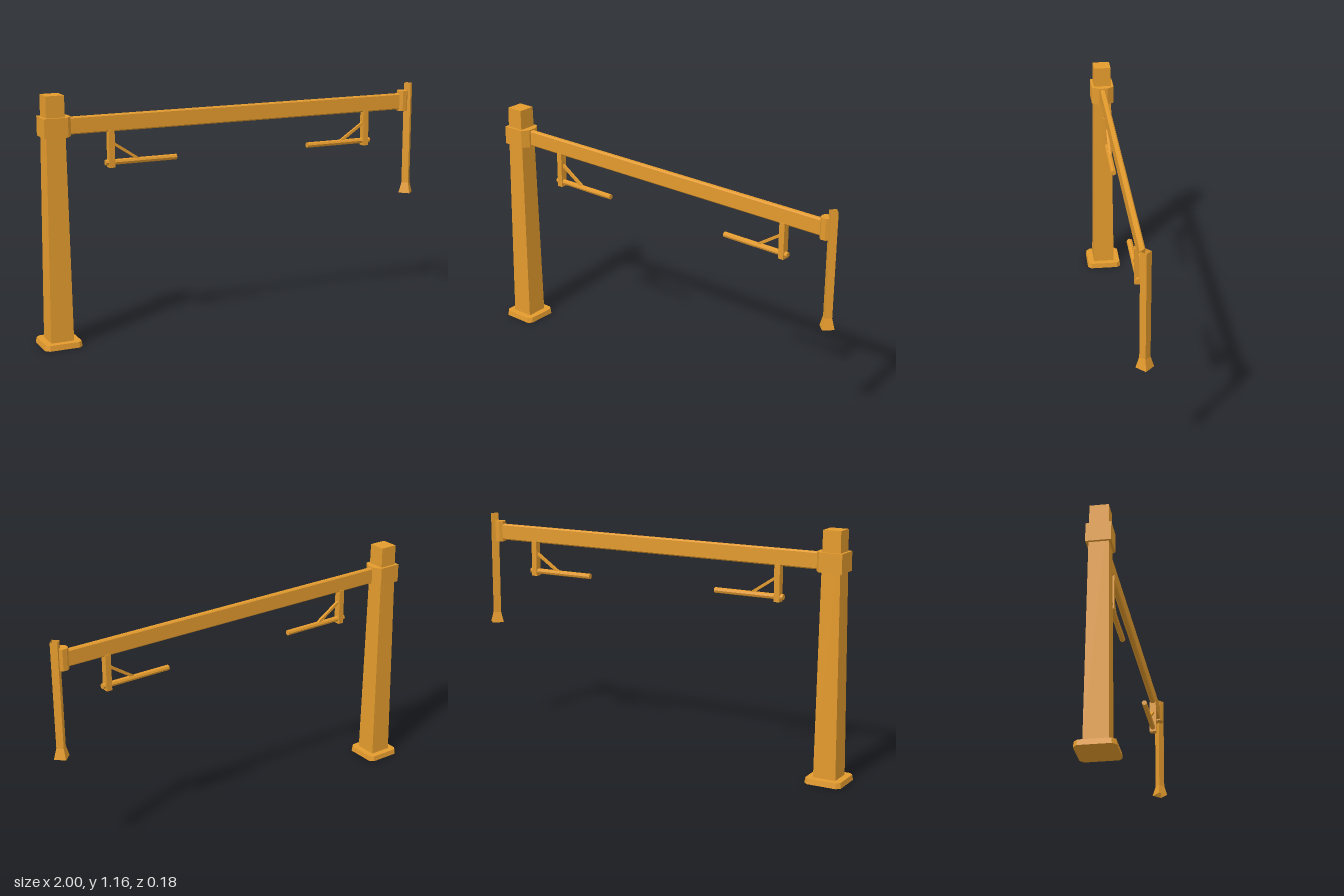
import * as THREE from 'three';

const material = new THREE.MeshStandardMaterial({ color: 0xe39a2d, flatShading: true });
const openMaterial = material.clone();
openMaterial.side = THREE.DoubleSide;

function add(parent, name, geometry, x = 0, y = 0, z = 0, mat = material) {
  const mesh = new THREE.Mesh(geometry, mat);
  mesh.name = name;
  mesh.position.set(x, y, z);
  parent.add(mesh);
  return mesh;
}

// Vertical prism standing on y = 0 from an outline in the ground plane
function prism(outline, height, topScale = 1) {
  const shape = new THREE.Shape(outline.map(([x, z]) => new THREE.Vector2(x, -z)));
  const geo = new THREE.ExtrudeGeometry(shape, { depth: height, bevelEnabled: false });
  geo.rotateX(-Math.PI / 2);
  const p = geo.attributes.position;
  for (let i = 0; i < p.count; i++) {
    if (p.getY(i) > height / 2) p.setXYZ(i, p.getX(i) * topScale, p.getY(i), p.getZ(i) * topScale);
  }
  geo.computeVertexNormals();
  return geo;
}

// Rectangle with cut corners, as half sizes
function cutRect(a, b, c) {
  return [[a, b - c], [a - c, b], [c - a, b], [-a, b - c], [-a, c - b], [c - a, -b], [a - c, -b], [a, c - b]];
}

// Hanging sign bracket whose arm points towards +x
function bracket(name) {
  const g = new THREE.Group();
  g.name = name;
  add(g, 'hanger', new THREE.BoxGeometry(0.028, 0.175, 0.034), 0, 0.9, 0);
  const arm = new THREE.CylinderGeometry(0.0135, 0.0135, 0.352, 8).rotateZ(Math.PI / 2);
  add(g, 'arm', arm, 0.148, 0.836, 0);
  const from = new THREE.Vector2(0.005, 0.928), to = new THREE.Vector2(0.135, 0.842);
  const d = to.clone().sub(from);
  const brace = add(g, 'brace', new THREE.BoxGeometry(d.length(), 0.013, 0.013),
    (from.x + to.x) / 2, (from.y + to.y) / 2, 0);
  brace.rotation.z = d.angle();
  return g;
}

export function createModel() {
  const model = new THREE.Group();
  model.name = 'gatePost';
  const px = -0.909;

  // Main post with foot plate and collar
  add(model, 'footPlate', prism(cutRect(0.09, 0.09, 0.018), 0.026, 0.96), px, 0, 0);
  const post = new THREE.CylinderGeometry(0.043 * Math.SQRT2, 0.055 * Math.SQRT2, 1.145, 4).rotateY(Math.PI / 4);
  add(model, 'mainPost', post, px, 0.02 + 1.145 / 2, 0);
  const collar = [[-0.057, 0.057], [0.054, 0.057], [0.078, 0.022], [0.078, -0.022], [0.054, -0.057], [-0.057, -0.057]];
  add(model, 'collar', prism(collar, 0.09), px, 0.976, 0);

  // Cross beam with bevelled edges
  const beam = prism(cutRect(0.04, 0.013, 0.006), 1.77).rotateZ(-Math.PI / 2);
  add(model, 'crossBeam', beam, -0.85, 1.02, 0);

  // Two mirrored brackets under the beam
  const left = bracket('innerBracket');
  left.position.x = -0.635;
  model.add(left);
  const right = bracket('outerBracket');
  right.rotation.y = Math.PI;
  right.position.x = 0.707;
  model.add(right);

  // End clamp joining the beam to the open drop tube
  const clamp = [[0, 0.012], [0.014, 0.025], [0.036, 0.025], [0.056, 0.004],
    [0.056, -0.004], [0.036, -0.025], [0.014, -0.025], [0, -0.012]];
  add(model, 'endClamp', prism(clamp, 0.102), 0.9, 0.972, 0);

  // Diamond-section tube with flared mouth
  const tx = 0.958;
  add(model, 'dropTube', new THREE.CylinderGeometry(0.024, 0.024, 0.51, 4, 1, true), tx, 0.855, 0, openMaterial);
  add(model, 'tubeFlare', new THREE.CylinderGeometry(0.024, 0.04, 0.052, 4, 1, true), tx, 0.574, 0, openMaterial);

  return model;
}
